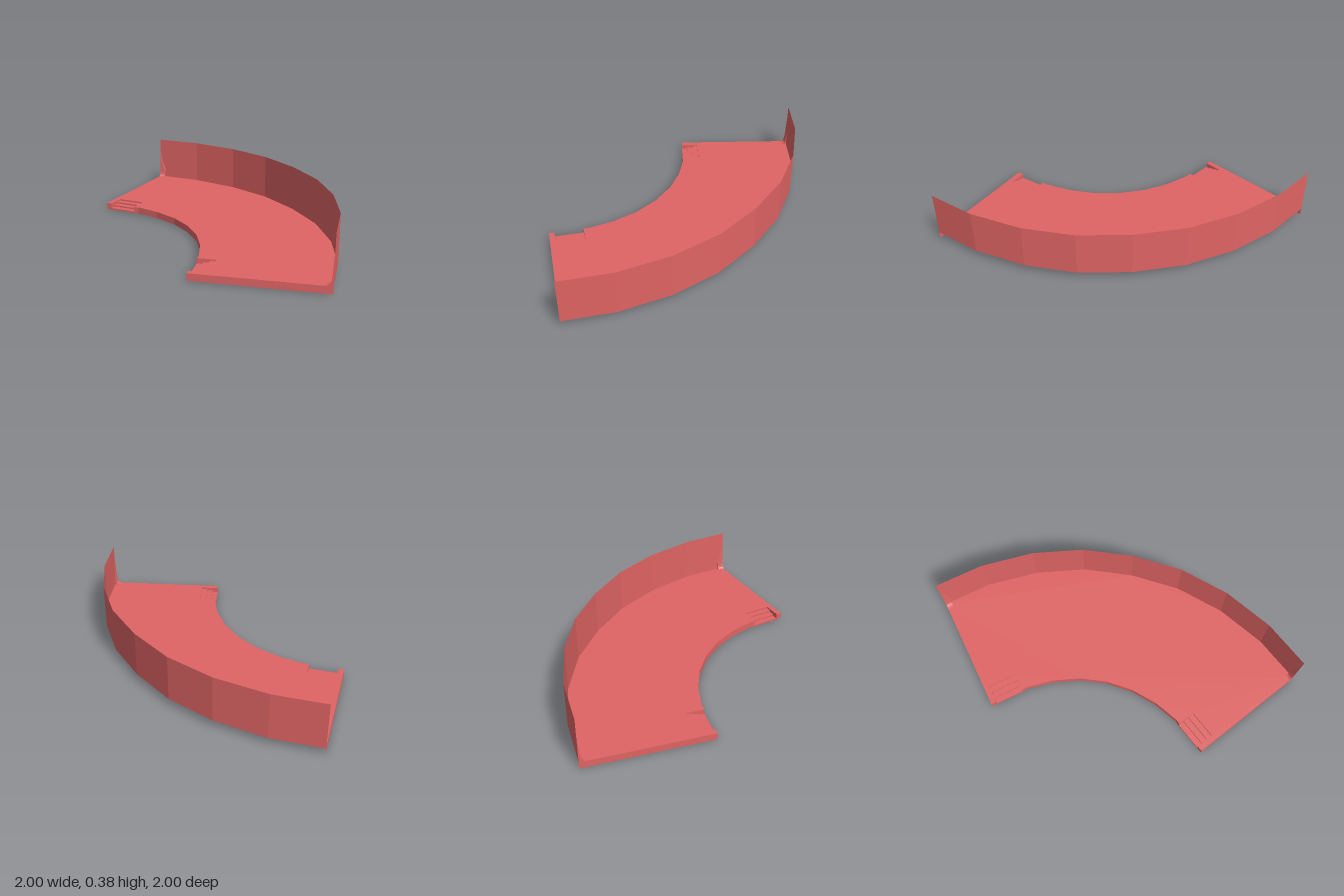
import * as THREE from 'three';

const FLOOR_Y = 0.05, WALL_TOP = 0.385;

// Reflection across the diagonal that swaps the two ends of the bend
const mirror = ([x, z]) => [-z, -x];
const complete = (half, skip) => [...half, ...half.slice(0, half.length - skip).reverse().map(mirror)];
const v = ([x, z], y) => new THREE.Vector3(x, y, z);

// Faceted sheet between two rows of points
function strip(rowA, rowB) {
  const pos = [];
  for (let i = 0; i < rowA.length - 1; i++) {
    const [a, b, c, d] = [rowA[i], rowA[i + 1], rowB[i + 1], rowB[i]];
    for (const p of [a, b, c, a, c, d]) pos.push(p.x, p.y, p.z);
  }
  const g = new THREE.BufferGeometry();
  g.setAttribute('position', new THREE.Float32BufferAttribute(pos, 3));
  g.computeVertexNormals();
  return g;
}
const ribbon = (pts, y0, y1) => strip(pts.map(p => v(p, y0)), pts.map(p => v(p, y1)));

export function createModel() {
  const group = new THREE.Group();
  const red = new THREE.MeshStandardMaterial({ color: 0xe06464, side: THREE.DoubleSide, flatShading: true });
  red.name = 'coral red';
  const add = (name, geometry, parent = group) => {
    const mesh = new THREE.Mesh(geometry, red);
    mesh.name = name;
    parent.add(mesh);
  };

  // Local frame at one end: u runs along the bend, w runs outward
  const corner = [-1, -0.11], outerEnd = [-0.91, -1];
  const along = [0.995, 0.1], outward = [0.1, -0.995];
  const from = (o, u, w) => [o[0] + along[0] * u + outward[0] * w, o[1] + along[1] * u + outward[1] * w];
  const U0 = 0.04, U1 = 0.25, DEPTH = 0.132;

  // Plan outlines; the inner one includes the stair notches
  const outer = complete([outerEnd, [-0.55, -0.965], [-0.18, -0.855], [0.152, -0.68], [0.438, -0.438]], 1);
  const inner = complete([
    outerEnd, corner,
    from(corner, U0, 0), from(corner, U0, DEPTH), from(corner, U1, DEPTH), from(corner, U1, 0),
    [-0.715, -0.085], [-0.53, -0.028], [-0.35, 0.065], [-0.193, 0.193],
  ], 1);

  // Floor deck with a hanging rim, open underneath and on the outer side
  const outline = [...inner, ...outer.slice(1, -1).reverse()];
  const deck = new THREE.ShapeGeometry(new THREE.Shape(outline.map(([x, z]) => new THREE.Vector2(x, -z))));
  deck.rotateX(-Math.PI / 2).translate(0, FLOOR_Y, 0);
  add('floorDeck', deck);
  add('floorRim', ribbon(inner, 0, FLOOR_Y));

  // Thin outer wall
  add('outerWall', ribbon(outer, FLOOR_Y, WALL_TOP));

  // Curved gusset profile: distance from wall, height above floor
  const profile = [[0.055, 0], [0.035, 0.004], [0.02, 0.018], [0.012, 0.045], [0.008, 0.09], [0.005, 0.16], [0, 0.23]];

  for (const [side, flip] of [['back', p => p], ['front', mirror]]) {
    // Three shallow steps in the notch
    const stairs = new THREE.Group();
    stairs.name = side + 'Stairs';
    for (let i = 0; i < 3; i++) {
      const w0 = DEPTH * i / 3, w1 = DEPTH * (i + 1) / 3;
      const y0 = FLOOR_Y * i / 4, y1 = FLOOR_Y * (i + 1) / 4;
      const row = (w, y) => [U0, U1].map(u => v(flip(from(corner, u, w)), y));
      add('riser', strip(row(w0, y0), row(w0, y1)), stairs);
      add('tread', strip(row(w0, y1), row(w1, y1)), stairs);
    }
    group.add(stairs);

    // Small fillet bracing the wall end, lower away from the end
    const gusset = new THREE.Group();
    gusset.name = side + 'Gusset';
    const curve = (u, scale, reach) =>
      profile.map(([s, h]) => v(flip(from(outerEnd, u, -s * reach)), FLOOR_Y + h * scale));
    const near = curve(0, 1, 1), far = curve(0.045, 0.3, 1);
    add('filletFace', strip(near, far), gusset);
    add('endFace', strip(near, curve(0, 1, 0)), gusset);
    add('innerFace', strip(far, curve(0.045, 0.3, 0)), gusset);
    group.add(gusset);
  }
  return group;
}
